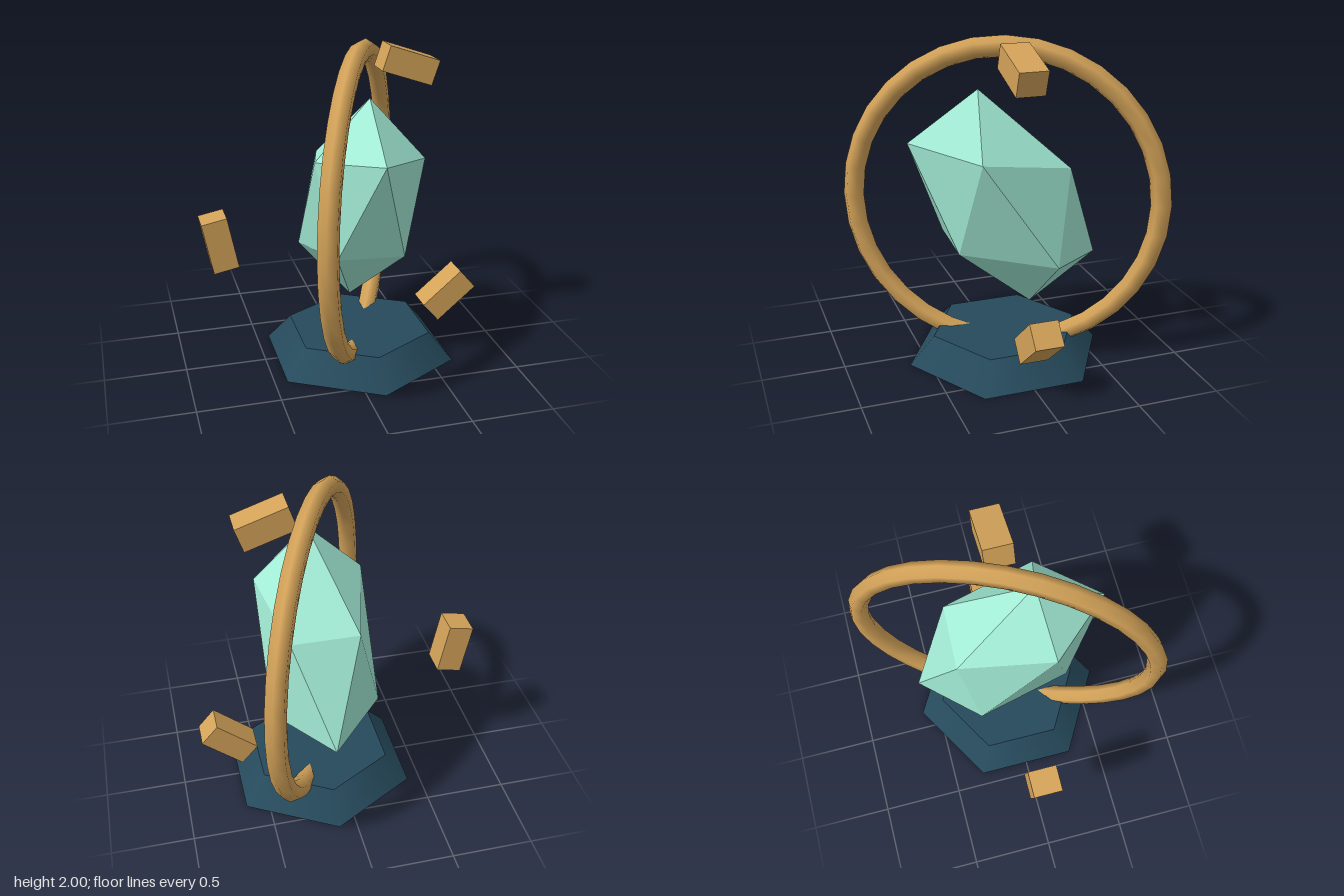
import * as THREE from 'three';

export function createModel() {
  const model = new THREE.Group();
  const gold = new THREE.MeshStandardMaterial({ color: 0xd4a359 });
  const slate = new THREE.MeshStandardMaterial({ color: 0x264a5c });
  const mint = new THREE.MeshStandardMaterial({ color: 0xa3ecd6, flatShading: true });
  const axisX = 0.11; // shared axis of base, ring and crystal

  const add = (name, geometry, material, x, y) => {
    const mesh = new THREE.Mesh(geometry, material);
    mesh.name = name;
    mesh.position.set(x, y, 0);
    model.add(mesh);
    return mesh;
  };

  // Six-sided tapered base
  add('base', new THREE.CylinderGeometry(0.46, 0.615, 0.172, 6), slate, axisX, 0.086);

  // Upright ring, its foot sunk into the base
  const ring = add('ring', new THREE.TorusGeometry(0.93, 0.0625, 6, 32), gold, axisX, 1.008);
  ring.rotation.y = THREE.MathUtils.degToRad(64);

  // Floating crystal: a stretched, tilted icosahedron
  const crystal = add('crystal', new THREE.IcosahedronGeometry(1, 0), mint, axisX, 1.008);
  crystal.scale.set(0.39, 0.485, 0.785);
  crystal.rotation.set(-0.965, 0, -0.045);

  // Floating blocks around the ring: x, y, turn in degrees
  const blockGeometry = new THREE.BoxGeometry(0.323, 0.155, 0.173);
  [
    [0.4, 1.856, -18.7],
    [-0.764, 0.838, 101.3],
    [0.695, 0.338, 40.6],
  ].forEach(([x, y, turn], i) => {
    const block = add(`floatingBlock${i + 1}`, blockGeometry, gold, x, y);
    block.rotation.z = THREE.MathUtils.degToRad(turn);
  });

  return model;
}
